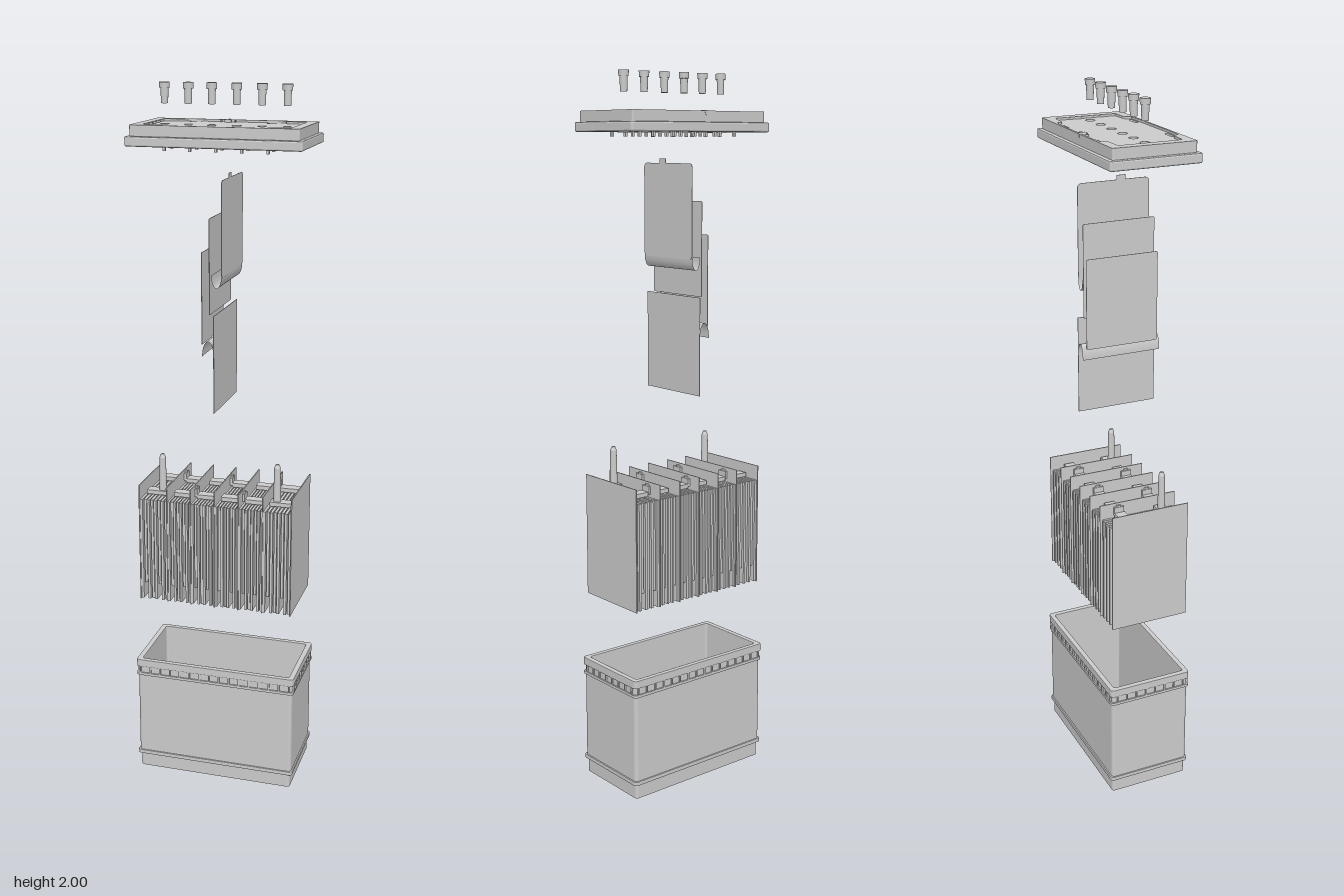
import * as THREE from 'three';

const mat = new THREE.MeshStandardMaterial({ color: 0xcccccc, side: THREE.DoubleSide });

export function createModel() {
  const model = new THREE.Group();

  const group = (name) => {
    const g = new THREE.Group();
    g.name = name;
    model.add(g);
    return g;
  };
  const add = (parent, name, geo, x = 0, y = 0, z = 0) => {
    const m = new THREE.Mesh(geo, mat);
    m.name = name;
    m.position.set(x, y, z);
    parent.add(m);
    return m;
  };
  const box = (parent, name, w, h, d, x, y, z) =>
    add(parent, name, new THREE.BoxGeometry(w, h, d), x, y, z);
  const cyl = (parent, name, rTop, rBottom, y0, y1, x, z, sides = 20) =>
    add(parent, name, new THREE.CylinderGeometry(rTop, rBottom, y1 - y0, sides), x, (y0 + y1) / 2, z);

  // Rounded rectangle outline with half sizes a, b
  const roundRect = (a, b, r, cx = 0, cy = 0, Type = THREE.Shape) => {
    const s = new Type();
    s.absarc(cx + a - r, cy + b - r, r, 0, Math.PI / 2);
    s.absarc(cx - a + r, cy + b - r, r, Math.PI / 2, Math.PI);
    s.absarc(cx - a + r, cy - b + r, r, Math.PI, Math.PI * 1.5);
    s.absarc(cx + a - r, cy - b + r, r, Math.PI * 1.5, Math.PI * 2);
    s.closePath();
    return s;
  };
  // Horizontal slab from y0 to y1 with optional holes and bevel
  const slab = (parent, name, shape, holes, y0, y1, bevel = 0) => {
    shape.holes.push(...holes);
    const geo = new THREE.ExtrudeGeometry(shape, {
      depth: y1 - y0 - 2 * bevel, bevelEnabled: bevel > 0, bevelSize: bevel,
      bevelOffset: -bevel, bevelThickness: bevel, bevelSegments: 2, curveSegments: 5,
    });
    geo.rotateX(-Math.PI / 2);
    return add(parent, name, geo, 0, y0 + bevel, 0);
  };

  // Open case: foot, body, rim and floor
  const lowerCase = group('case');
  const inner = () => [roundRect(0.222, 0.11, 0.006, 0, 0, THREE.Path)];
  slab(lowerCase, 'caseFloor', roundRect(0.228, 0.116, 0.008), [], 0, 0.012);
  slab(lowerCase, 'caseFoot', roundRect(0.23, 0.118, 0.008), inner(), 0, 0.046);
  slab(lowerCase, 'caseLedge', roundRect(0.238, 0.125, 0.01), inner(), 0.042, 0.054, 0.002);
  slab(lowerCase, 'caseBody', roundRect(0.234, 0.121, 0.01), inner(), 0.05, 0.335);
  slab(lowerCase, 'caseBand', roundRect(0.238, 0.125, 0.01), inner(), 0.306, 0.314);
  slab(lowerCase, 'caseRim', roundRect(0.238, 0.125, 0.01), inner(), 0.333, 0.356, 0.002);
  for (const s of [-1, 1]) {
    for (let i = 0; i < 16; i++)
      box(lowerCase, 'rimRib', 0.004, 0.024, 0.006, -0.225 + i * 0.03, 0.324, s * 0.122);
    for (let i = 0; i < 8; i++)
      box(lowerCase, 'rimRib', 0.006, 0.024, 0.004, s * 0.235, 0.324, -0.105 + i * 0.03);
  }

  // Cell block: partitions with packs of plates between them
  const cells = group('cellBlock');
  const walls = [-0.222, -0.14, -0.07, 0, 0.07, 0.14, 0.222];
  walls.forEach((x) => box(cells, 'partition', 0.003, 0.35, 0.23, x, 0.725, 0));
  for (let c = 0; c < 6; c++) {
    const x0 = walls[c], w = walls[c + 1] - x0, mid = x0 + w / 2;
    const count = 8;
    for (let i = 0; i < count; i++) {
      const bottom = i % 4 === 1 ? 0.6 : 0.552;
      const depth = i % 2 ? 0.215 : 0.224;
      box(cells, 'plate', (w / count) * 0.72, 0.857 - bottom, depth,
        x0 + (w * (i + 0.5)) / count, (0.857 + bottom) / 2, 0);
    }
    // Straps joining the plates of each cell
    for (const z of [-0.06, 0.06]) box(cells, 'strap', w * 0.75, 0.012, 0.03, mid, 0.868, z);
    // Links through the partitions, on alternating sides
    if (c < 5) {
      const z = c % 2 ? 0.06 : -0.06;
      box(cells, 'cellLink', 0.016, 0.022, 0.03, walls[c + 1], 0.878, z);
      cyl(cells, 'linkStud', 0.007, 0.007, 0.87, 0.894, walls[c + 1], z, 12);
    }
  }
  for (const s of [-1, 1]) {
    cyl(cells, 'terminalPost', 0.009, 0.011, 0.86, 0.972, s * 0.168, 0.06);
    cyl(cells, 'postTip', 0.005, 0.009, 0.972, 0.982, s * 0.168, 0.06);
  }

  // Loose plates and separators above the block
  const stack = group('plateStack');
  const upright = (name, x, y0, y1, half, r, t = 0.0015) => {
    const h = (y1 - y0) / 2;
    const geo = new THREE.ExtrudeGeometry(roundRect(half, h, r), { depth: t, bevelEnabled: false });
    geo.rotateY(Math.PI / 2);
    return add(stack, name, geo, x - t / 2, (y0 + y1) / 2, 0);
  };
  // Thin sheet swept along z from an arc profile in x and y
  const fold = (name, cx, cy, rx, ry, from, to, half) => {
    const geo = new THREE.PlaneGeometry(1, 1, 16, 1);
    const p = geo.attributes.position;
    for (let i = 0; i < p.count; i++) {
      const a = from + (p.getX(i) + 0.5) * (to - from);
      p.setXYZ(i, cx + rx * Math.cos(a), cy + ry * Math.sin(a), p.getY(i) * 2 * half);
    }
    geo.computeVertexNormals();
    return add(stack, name, geo);
  };
  upright('lowerSeparator', 0, 1.13, 1.402, 0.115, 0.001);
  fold('foldedSeparator', -0.016, 1.29, 0.016, 0.042, 0, Math.PI, 0.115);
  upright('rearPlate', -0.036, 1.32, 1.57, 0.105, 0.004);
  upright('middlePlate', -0.015, 1.402, 1.66, 0.104, 0.004);
  fold('pocketFold', 0.005, 1.51, 0.014, 0.035, Math.PI, 2 * Math.PI, 0.104);
  upright('topPlate', 0.019, 1.505, 1.76, 0.104, 0.012);
  box(stack, 'plateTab', 0.0015, 0.014, 0.026, 0.019, 1.765, 0.022);

  // Lid: flange, raised frame and sunken panel
  const lid = group('lid');
  slab(lid, 'lidFlange', roundRect(0.239, 0.127, 0.006), inner(), 1.842, 1.868, 0.004);
  const quarter = [[0.2, 0.055], [0.2, 0.088], [0.15, 0.09], [0.142, 0.096], [0.138, 0.108], [0.085, 0.11]];
  const outline = [
    ...quarter,
    ...quarter.map(([x, y]) => [-x, y]).reverse(),
    ...quarter.map(([x, y]) => [-x, -y]),
    ...quarter.map(([x, y]) => [x, -y]).reverse(),
  ].map(([x, y]) => new THREE.Vector2(x, y));
  slab(lid, 'lidFrame', roundRect(0.228, 0.116, 0.004), [new THREE.Path(outline)], 1.864, 1.897);
  const slots = [];
  for (const sx of [-1, 1])
    for (const sy of [-1, 1])
      slots.push(roundRect(0.022, 0.0055, 0.0054, sx * 0.107, sy * 0.1, THREE.Path));
  const plugX = [-0.168, -0.102, -0.037, 0.031, 0.1, 0.168];
  plugX.forEach((x) => slots.push(roundRect(0.0125, 0.0125, 0.0124, x, 0, THREE.Path)));
  slab(lid, 'lidPanel', roundRect(0.226, 0.114, 0.003), slots, 1.872, 1.891);
  // Scalloped grips at both ends of the panel
  for (const s of [-1, 1])
    for (let i = 0; i < 4; i++)
      cyl(lid, 'gripScallop', 0.008, 0.008, 1.885, 1.896, s * 0.205, -0.045 + i * 0.03, 12).scale.z = 1.8;
  // Vent outlet at the back
  const vent = add(lid, 'ventOutlet', new THREE.CylinderGeometry(0.007, 0.007, 0.022, 14), -0.021, 1.892, -0.106);
  vent.rotation.x = Math.PI / 2;
  box(lid, 'ventFlange', 0.02, 0.01, 0.003, -0.021, 1.893, -0.095);
  for (const x of [-0.041, -0.001]) box(lid, 'ventCheek', 0.002, 0.01, 0.02, x, 1.892, -0.106);
  // Underside ribs, locating pins and filler tubes
  walls.slice(1, -1).forEach((x) => {
    box(lid, 'lidRib', 0.004, 0.03, 0.222, x, 1.859, 0);
    for (const z of [-0.09, -0.03, 0.03, 0.09]) box(lid, 'locatingPin', 0.007, 0.03, 0.008, x, 1.845, z);
  });
  plugX.forEach((x) => add(lid, 'fillerTube',
    new THREE.CylinderGeometry(0.015, 0.015, 0.036, 20, 1, true), x, 1.858, 0));
  for (const s of [-1, 1]) cyl(lid, 'terminalSleeve', 0.016, 0.016, 1.842, 1.875, s * 0.168, 0.06);

  // Vent plugs floating above the lid
  const plugs = group('ventPlugs');
  plugX.forEach((x) => {
    cyl(plugs, 'plugStem', 0.0105, 0.0095, 1.945, 1.985, x, 0);
    cyl(plugs, 'plugHead', 0.014, 0.0135, 1.984, 2, x, 0);
  });
  return model;
}
